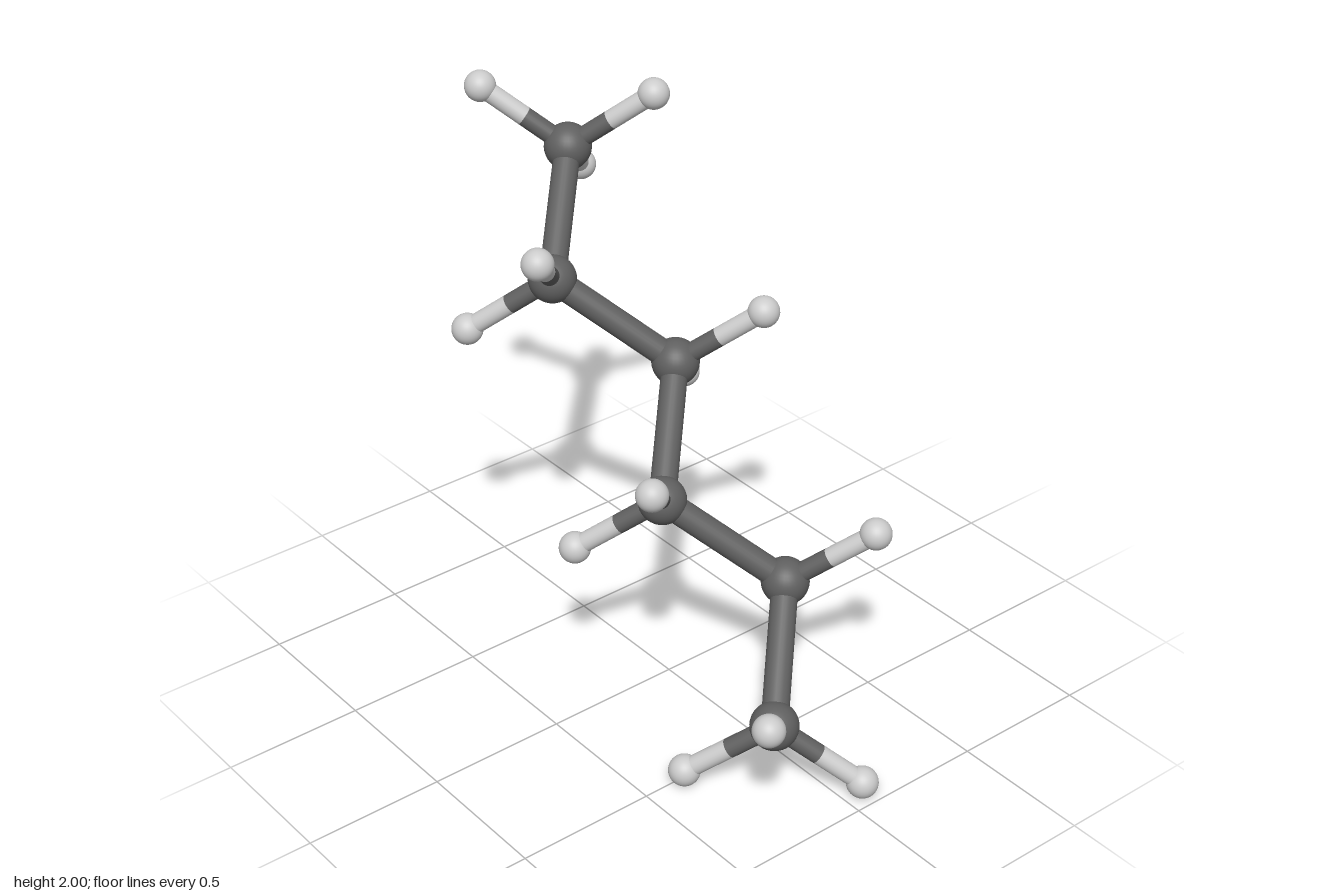
import * as THREE from 'three';

const CARBON_R = 0.083, HYDROGEN_R = 0.055;
const CHAIN_BOND_R = 0.046, SIDE_BOND_R = 0.034;
const STEP = 0.294;   // chain spacing along each axis
const REACH = 0.21;   // hydrogen offset along each axis

export function createModel() {
  const model = new THREE.Group();
  model.name = 'moleculeModel';
  const dark = new THREE.MeshStandardMaterial({ color: 0x606060 });
  const light = new THREE.MeshStandardMaterial({ color: 0xcccccc });
  const carbonGeometry = new THREE.SphereGeometry(CARBON_R, 32, 20);
  const hydrogenGeometry = new THREE.SphereGeometry(HYDROGEN_R, 32, 20);
  const up = new THREE.Vector3(0, 1, 0);

  function addBall(name, geometry, material, position) {
    const ball = new THREE.Mesh(geometry, material);
    ball.name = name;
    ball.position.copy(position);
    model.add(ball);
  }

  // Round rod between two points
  function addRod(name, a, b, radius, material) {
    const along = b.clone().sub(a);
    const rod = new THREE.Mesh(
      new THREE.CylinderGeometry(radius, radius, along.length(), 24), material);
    rod.name = name;
    rod.position.copy(a).lerp(b, 0.5);
    rod.quaternion.setFromUnitVectors(up, along.normalize());
    model.add(rod);
  }

  // Hydrogen on a two-tone bond: dark half at the carbon, light half outside
  function addHydrogen(carbon, sx, sy, sz) {
    const end = new THREE.Vector3(sx, sy, sz).multiplyScalar(REACH).add(carbon);
    const middle = carbon.clone().lerp(end, 0.5);
    addRod('sideBondInner', carbon, middle, SIDE_BOND_R, dark);
    addRod('sideBondOuter', middle, end, SIDE_BOND_R, light);
    addBall('hydrogen', hydrogenGeometry, light, end);
  }

  // Zigzag backbone of six carbons, descending from right to left
  const carbons = [];
  for (let i = 0; i < 6; i++) {
    const d = (i - 2.5) * STEP;
    const side = i % 2 ? 1 : -1;
    carbons.push(new THREE.Vector3(d, 1 - d, side * STEP / 2));
  }

  carbons.forEach((carbon, i) => {
    const side = Math.sign(carbon.z);
    addBall('carbon', carbonGeometry, dark, carbon);
    if (i > 0) addRod('chainBond', carbons[i - 1], carbon, CHAIN_BOND_R, dark);
    addHydrogen(carbon, 1, 1, side);
    addHydrogen(carbon, -1, -1, side);
  });

  // Third hydrogen capping each end of the chain
  addHydrogen(carbons[0], -1, 1, 1);
  addHydrogen(carbons[5], 1, -1, -1);

  return model;
}
